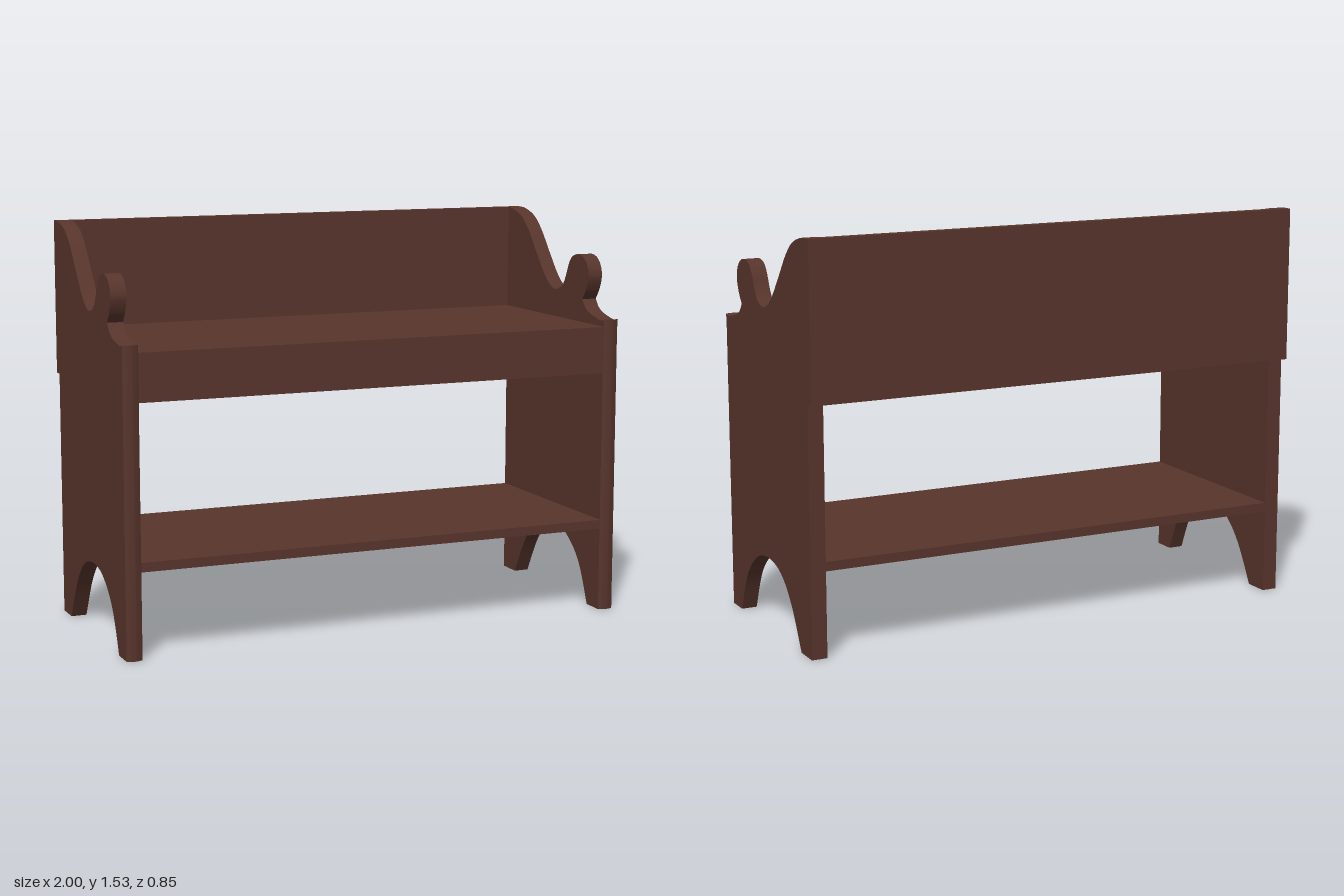
import * as THREE from 'three';
import { toCreasedNormals } from 'three/addons/utils/BufferGeometryUtils.js';

const T = 0.06;      // end panel thickness
const INNER = 0.94;  // inner face of the end panels
const FRONT = 0.425;
const BACK = -0.39;

const vec = (pts) => pts.map(([z, y]) => new THREE.Vector2(z, y));

// End panel outline in (z, y): arched foot, scrolled arm, sweep up to the back
function panelShape() {
  const s = new THREE.Shape();
  s.moveTo(BACK, 0);
  s.lineTo(-0.29, 0);
  s.splineThru(vec([[-0.2, 0.155], [-0.1, 0.25], [0.02, 0.28], [0.14, 0.255], [0.25, 0.16], [0.325, 0]]));
  s.lineTo(FRONT, 0);
  s.lineTo(FRONT, 1.148);
  s.splineThru(vec([[0.385, 1.144], [0.31, 1.16], [0.27, 1.18], [0.245, 1.21]]));
  s.splineThru(vec([
    [0.274, 1.253], [0.29, 1.302], [0.28, 1.343], [0.25, 1.373], [0.205, 1.383], [0.16, 1.371],
    [0.132, 1.339], [0.103, 1.278], [0.075, 1.245], [0.026, 1.229], [-0.018, 1.241], [-0.07, 1.282],
    [-0.136, 1.359], [-0.21, 1.448], [-0.274, 1.5], [-0.347, 1.525], [BACK, 1.53],
  ]));
  s.closePath();
  return s;
}

function panelGeometry() {
  const g = new THREE.ExtrudeGeometry(panelShape(), { depth: T, steps: 6, bevelEnabled: false, curveSegments: 6 });
  // Ease the front edge into a slightly rounded nose
  const p = g.attributes.position;
  for (let i = 0; i < p.count; i++) {
    if (p.getX(i) > FRONT - 0.001) {
      const u = (p.getZ(i) / T) * 2 - 1;
      p.setX(i, FRONT - 0.01 * u * u);
    }
  }
  g.rotateY(-Math.PI / 2); // outline x becomes z, thickness runs along -x
  g.translate(T / 2, 0, 0);
  return toCreasedNormals(g, 0.6);
}

export function createModel() {
  const group = new THREE.Group();
  const wood = new THREE.MeshStandardMaterial({ color: 0x58352c });
  wood.name = 'dark brown wood';

  const add = (name, geometry) => {
    const mesh = new THREE.Mesh(geometry, wood);
    mesh.name = name;
    group.add(mesh);
    return mesh;
  };
  const board = (name, halfWidth, y0, y1, z0, z1) =>
    add(name, new THREE.BoxGeometry(halfWidth * 2, y1 - y0, z1 - z0))
      .position.set(0, (y0 + y1) / 2, (z0 + z1) / 2);

  // End panels
  const panel = panelGeometry();
  for (const [name, side] of [['leftEndPanel', 1], ['rightEndPanel', -1]]) {
    add(name, panel).position.x = side * (INNER + T / 2);
  }

  // Boards spanning the ends
  board('backBoard', 1, 0.94, 1.53, -0.425, BACK);
  board('seat', INNER, 1.085, 1.12, BACK, 0.418);
  board('frontApron', INNER, 0.94, 1.085, 0.385, 0.418);
  board('lowerShelf', INNER, 0.325, 0.36, BACK, 0.418);

  return group;
}
